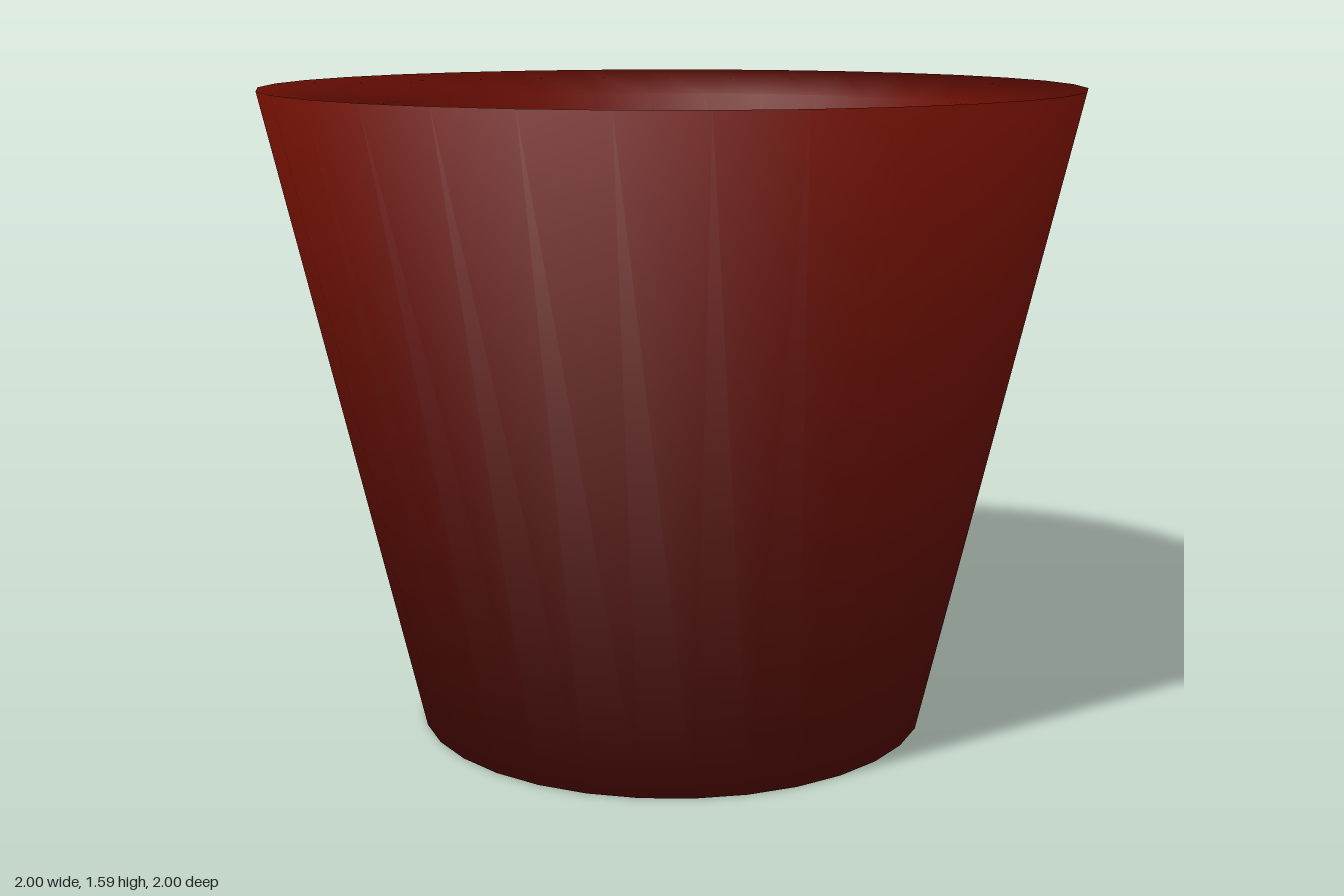
import * as THREE from 'three';

const SIDES = 32;

export function createModel() {
  const group = new THREE.Group();
  group.name = 'flowerPot';

  // Closed profile: underside, outer wall, rim sloping inwards, inner wall, inner floor
  const profile = [
    [0, 0],
    [0.64, 0],
    [1, 1.585],
    [0.82, 1.525],
    [0.55, 0.15],
    [0, 0.15],
  ].map(([r, y]) => new THREE.Vector2(r, y));

  // Unit normal of each profile segment, then the even average at each point
  const segments = profile.slice(1).map((p, i) => {
    const d = p.clone().sub(profile[i]).normalize();
    return new THREE.Vector2(d.y, -d.x);
  });
  const normals = profile.map((_, i) => {
    const before = segments[Math.max(i - 1, 0)];
    const after = segments[Math.min(i, segments.length - 1)];
    return before.clone().add(after).normalize();
  });

  // Sweep the averaged normals round the axis so every edge shades softly
  const geometry = new THREE.LatheGeometry(profile, SIDES);
  for (let i = 0; i <= SIDES; i++) {
    const angle = (i / SIDES) * Math.PI * 2;
    normals.forEach((n, j) => {
      geometry.attributes.normal.setXYZ(
        i * normals.length + j, n.x * Math.sin(angle), n.y, n.x * Math.cos(angle)
      );
    });
  }

  const pot = new THREE.Mesh(geometry, new THREE.MeshStandardMaterial({ color: 0x660d02 }));
  pot.name = 'pot';
  group.add(pot);
  return group;
}
